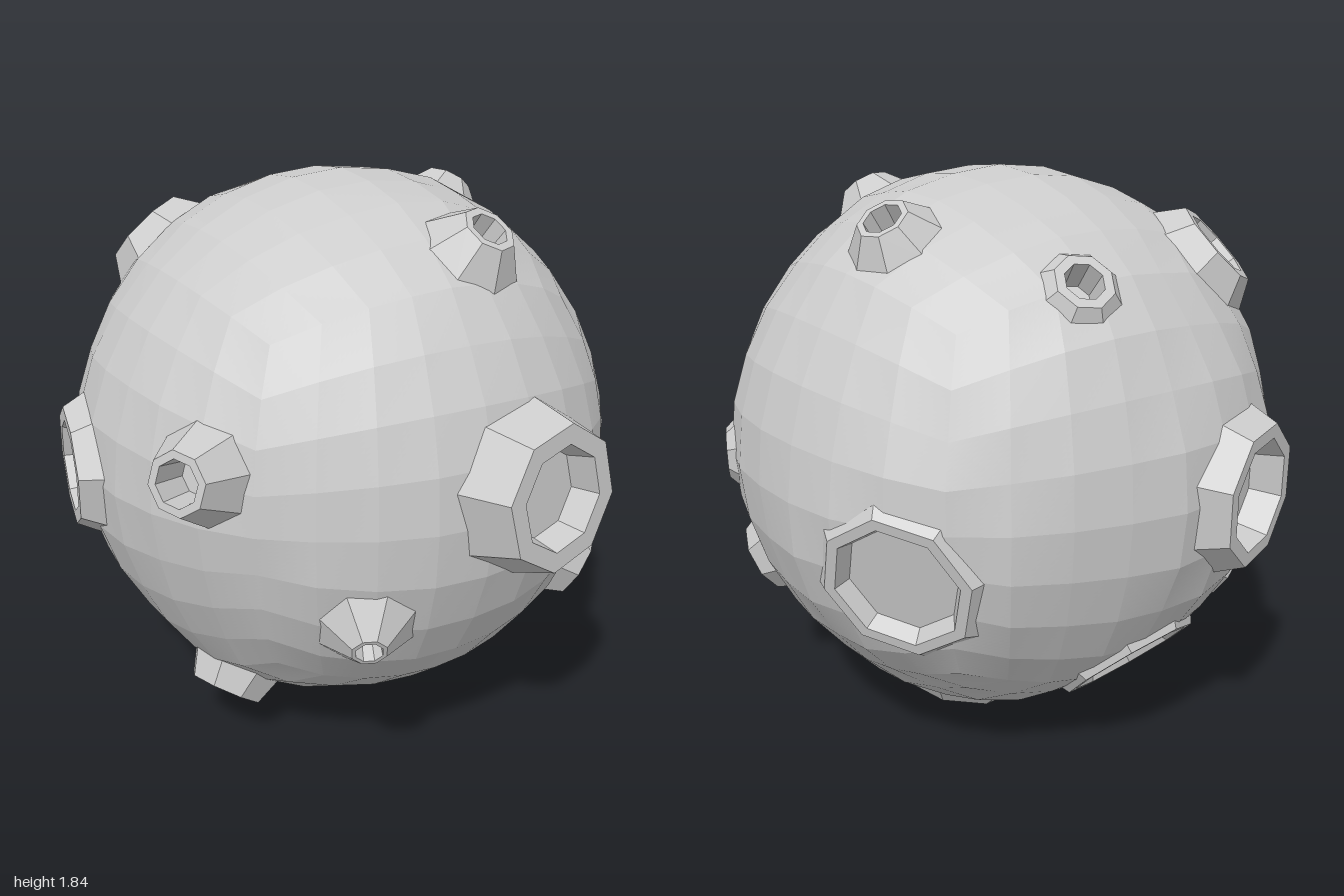
import * as THREE from 'three';

const RADIUS = 0.885;
const CENTRE = new THREE.Vector3(0.03, 0.95, -0.03);

// direction from the centre, rim distance, foot radius, rim outer and inner radius, depth,
// lift of the ground around the foot
const CRATERS = [
  { name: 'frontCrater', dir: [0.17, 0.08, 0.97], rim: 1.0, foot: 0.27, outer: 0.22, inner: 0.16, depth: 0.09, lift: 0.005 },
  { name: 'upperFrontCrater', dir: [0.17, 0.78, 0.58], rim: 0.98, foot: 0.17, outer: 0.085, inner: 0.06, depth: 0.12, lift: 0.015 },
  { name: 'upperLeftCrater', dir: [0.53, 0.78, -0.17], rim: 0.96, foot: 0.155, outer: 0.08, inner: 0.06, depth: 0.12, lift: 0.012 },
  { name: 'upperBackCrater', dir: [0.17, 0.63, -0.63], rim: 0.915, foot: 0.13, outer: 0.09, inner: 0.06, depth: 0.1, lift: 0.01 },
  { name: 'upperRightCrater', dir: [-0.48, 0.65, -0.49], rim: 0.95, foot: 0.215, outer: 0.15, inner: 0.115, depth: 0.08, lift: 0.01 },
  { name: 'rightCrater', dir: [-0.92, -0.01, -0.14], rim: 0.93, foot: 0.24, outer: 0.195, inner: 0.15, depth: 0.1, lift: 0.01 },
  { name: 'rightFrontCrater', dir: [-0.825, 0.18, 0.56], rim: 1.01, foot: 0.16, outer: 0.095, inner: 0.07, depth: 0.12, lift: 0.01 },
  { name: 'lowerFrontCrater', dir: [-0.37, -0.35, 0.83], rim: 0.965, foot: 0.165, outer: 0.055, inner: 0.042, depth: 0.1, lift: 0.008 },
  { name: 'lowerRightCrater', dir: [-0.56, -0.765, 0.21], rim: 0.97, foot: 0.16, outer: 0.125, inner: 0.1, depth: 0.08, lift: 0.015 },
  { name: 'lowerLeftCrater', dir: [0.68, -0.485, 0.505], rim: 0.96, foot: 0.17, outer: 0.125, inner: 0.095, depth: 0.1, lift: 0.005 },
  { name: 'leftCrater', dir: [0.84, -0.015, 0.37], rim: 0.907, foot: 0.12, outer: 0.08, inner: 0.07, depth: 0.04, lift: 0.005 },
  { name: 'leftBackCrater', dir: [0.72, -0.195, -0.5], rim: 0.89, foot: 0.275, outer: 0.235, inner: 0.2, depth: 0.05, lift: 0.02 },
  { name: 'backCrater', dir: [-0.31, -0.02, -0.91], rim: 0.95, foot: 0.265, outer: 0.22, inner: 0.175, depth: 0.1, lift: 0.018 },
  { name: 'lowerBackCrater', dir: [-0.07, -0.62, -0.62], rim: 0.877, foot: 0.245, outer: 0.225, inner: 0.2, depth: 0.025, lift: 0.003 },
  { name: 'lowerBackRightCrater', dir: [-0.575, -0.465, -0.505], rim: 0.915, foot: 0.145, outer: 0.115, inner: 0.085, depth: 0.08, lift: 0.01 },
  { name: 'bottomCrater', dir: [0.17, -0.91, 0.01], rim: 0.93, foot: 0.27, outer: 0.2, inner: 0.165, depth: 0.08, lift: 0.03 },
].map((c) => ({ ...c, axis: new THREE.Vector3(...c.dir).normalize() }));

// Ground height: the sphere, raised a little around each crater
function groundRadius(unit) {
  return CRATERS.reduce((r, c) => {
    const fromFoot = unit.angleTo(c.axis) * RADIUS - c.foot;
    return r + c.lift * (1 - THREE.MathUtils.smoothstep(fromFoot, 0.04, 0.2));
  }, RADIUS);
}

// Corners of a faceted sphere made from a cube with 8 x 8 cells per side
const corners = new Map();
function cornerPoint(cell) {
  const key = cell.join();
  if (!corners.has(key)) {
    const p = new THREE.Vector3(...cell.map((i) => Math.tan((i / 4 - 1) * Math.PI / 4))).normalize();
    corners.set(key, p.multiplyScalar(groundRadius(p)));
  }
  return corners.get(key);
}

// Point on the flat cells between the corners
function facetPoint(p) {
  const axes = [p.x, p.y, p.z].map((v) => {
    const t = (v + 1) * 4;
    const lo = Math.min(7, Math.max(0, Math.floor(t + 1e-5)));
    return { lo, f: t - lo };
  });
  const sum = new THREE.Vector3();
  for (let k = 0; k < 8; k++) {
    let weight = 1;
    const cell = axes.map(({ lo, f }, i) => {
      const high = (k >> i) & 1;
      weight *= high ? f : 1 - f;
      return lo + high;
    });
    sum.addScaledVector(cornerPoint(cell), weight);
  }
  return sum;
}

// Body: faceted sphere with an opening under every crater
function bodyGeometry() {
  const n = 80;
  const geo = new THREE.BoxGeometry(2, 2, 2, n, n, n);
  const pos = geo.attributes.position;
  const p = new THREE.Vector3();
  for (let i = 0; i < pos.count; i++) {
    const q = facetPoint(p.fromBufferAttribute(pos, i));
    pos.setXYZ(i, q.x, q.y, q.z);
  }
  const holes = CRATERS.map((c) => ({
    axis: c.axis,
    cos: Math.cos(Math.asin((c.inner + 0.012) / RADIUS)),
  }));
  const index = geo.index.array;
  const kept = [];
  const mid = new THREE.Vector3();
  for (let i = 0; i < index.length; i += 3) {
    mid.set(0, 0, 0);
    for (let j = 0; j < 3; j++) mid.add(p.fromBufferAttribute(pos, index[i + j]));
    mid.normalize();
    if (holes.every((h) => mid.dot(h.axis) < h.cos)) {
      kept.push(index[i], index[i + 1], index[i + 2]);
    }
  }
  geo.setIndex(kept);
  geo.clearGroups();
  geo.computeVertexNormals();
  return geo;
}

// Crater: eight-sided sloping wall, flat rim, inner wall and floor
function craterGeometry({ rim, foot, outer, inner, depth, lift }) {
  const profile = [
    [foot, Math.sqrt(RADIUS * RADIUS - foot * foot) + lift - 0.015],
    [outer, rim],
    [inner, rim],
    [inner * 0.88, rim - depth],
    [0, rim - depth],
  ].map(([x, y]) => new THREE.Vector2(x, y));
  return new THREE.LatheGeometry(profile, 8);
}

export function createModel() {
  const group = new THREE.Group();
  group.name = 'crateredMoon';
  const material = new THREE.MeshStandardMaterial({
    color: 0xcccccc,
    flatShading: true,
    side: THREE.DoubleSide,
  });

  const body = new THREE.Mesh(bodyGeometry(), material);
  body.name = 'body';
  body.position.copy(CENTRE);
  group.add(body);

  const up = new THREE.Vector3(0, 1, 0);
  for (const c of CRATERS) {
    const crater = new THREE.Mesh(craterGeometry(c), material);
    crater.name = c.name;
    crater.position.copy(CENTRE);
    crater.quaternion.setFromUnitVectors(up, c.axis);
    group.add(crater);
  }
  return group;
}
